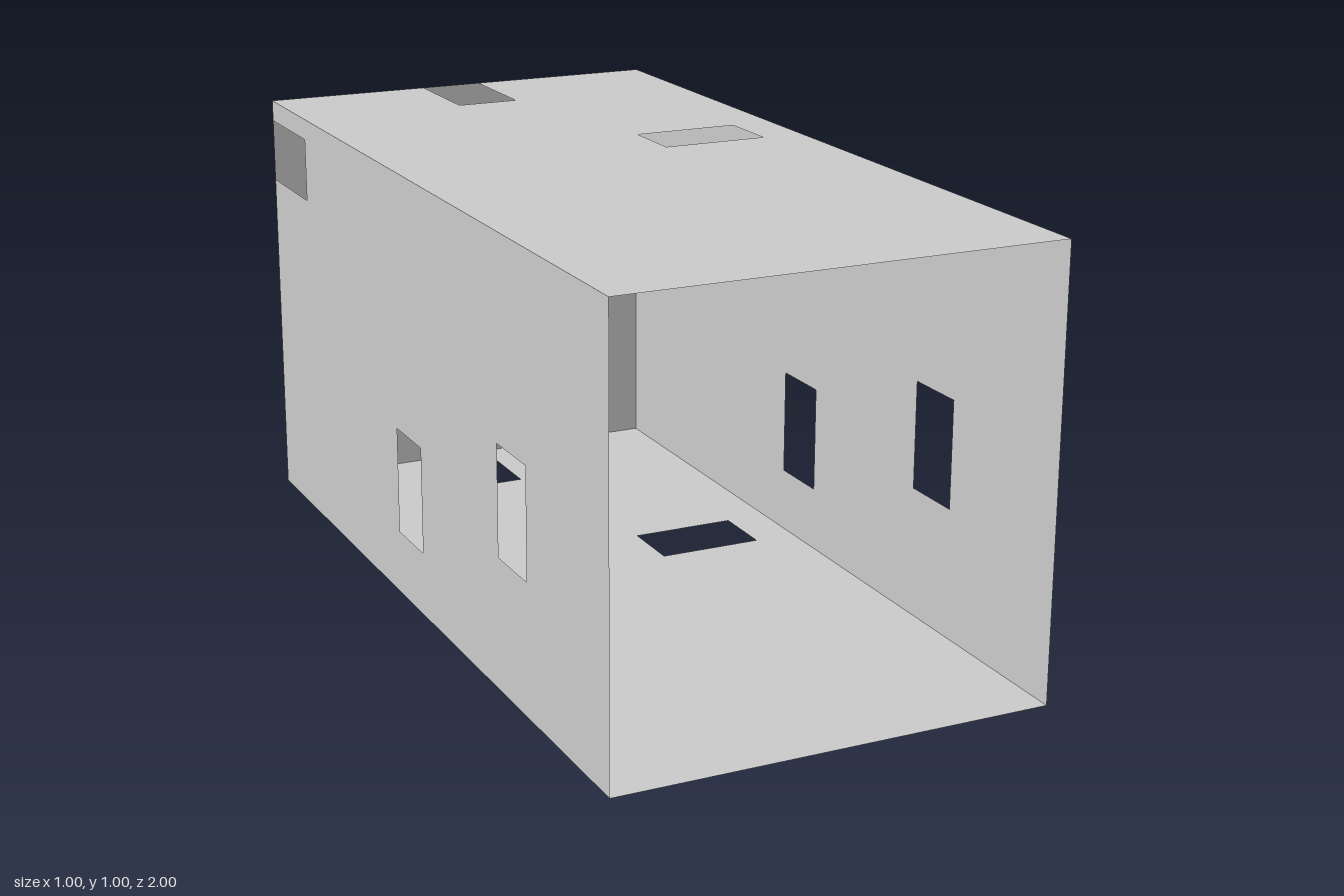
import * as THREE from 'three';

const material = new THREE.MeshStandardMaterial({ color: 0xcccccc, side: THREE.DoubleSide });
const X = new THREE.Vector3(1, 0, 0);
const Y = new THREE.Vector3(0, 1, 0);
const Z = new THREE.Vector3(0, 0, 1);

// Rectangular opening: [u0, u1, v0, v1]
function rectPath([u0, u1, v0, v1]) {
  return new THREE.Path([[u0, v0], [u0, v1], [u1, v1], [u1, v0]].map(p => new THREE.Vector2(...p)));
}

// Thin flat panel drawn in (u, v), then laid along two axes; flip turns its face outward
function panel(name, outline, holes, uAxis, vAxis, position, flip = false) {
  const shape = new THREE.Shape(outline.map(p => new THREE.Vector2(...p)));
  shape.holes = holes.map(rectPath);
  const geometry = new THREE.ShapeGeometry(shape);
  if (flip) geometry.index.array.reverse();
  // Third column is never scaled into the flat panel, it only completes the basis
  const normal = new THREE.Vector3().crossVectors(uAxis, vAxis);
  geometry.applyMatrix4(new THREE.Matrix4().makeBasis(uAxis, vAxis, normal).setPosition(...position));
  geometry.computeVertexNormals();
  const mesh = new THREE.Mesh(geometry, material);
  mesh.name = name;
  return mesh;
}

// Outline running z = -1..1 with a notch in its back edge between n0 and n1
const notched = (v0, v1, n0, n1) => [
  [1, v0], [1, v1], [-1, v1], [-1, n1], [-0.75, n1], [-0.75, n0], [-1, n0], [-1, v0],
];

export function createModel() {
  const group = new THREE.Group();
  group.name = 'openBox';

  // Side walls: the same two windows, back notch at different heights
  const windows = [[0.45, 0.6, 0.3, 0.55], [-0.15, 0, 0.15, 0.4]];
  group.add(panel('leftWall', notched(0, 1, 0.55, 0.7), windows, Z, Y, [0.5, 0, 0], true));
  group.add(panel('rightWall', notched(0, 1, 0.8, 0.95), windows, Z, Y, [-0.5, 0, 0]));

  // Roof and floor: matching hatch and back notch
  const hatch = [[-0.25, -0.1, 0.15, 0.4]];
  const slab = notched(-0.5, 0.5, -0.1, 0.05);
  group.add(panel('roof', slab, hatch, Z, X, [0, 1, 0]));
  group.add(panel('floor', slab, hatch, Z, X, [0, 0, 0], true));

  // Back wall with one opening; the front stays open
  const back = [[-0.5, 0], [0.5, 0], [0.5, 1], [-0.5, 1]];
  group.add(panel('backWall', back, [[0.05, 0.2, 0.1, 0.35]], X, Y, [0, 0, -1], true));

  return group;
}
